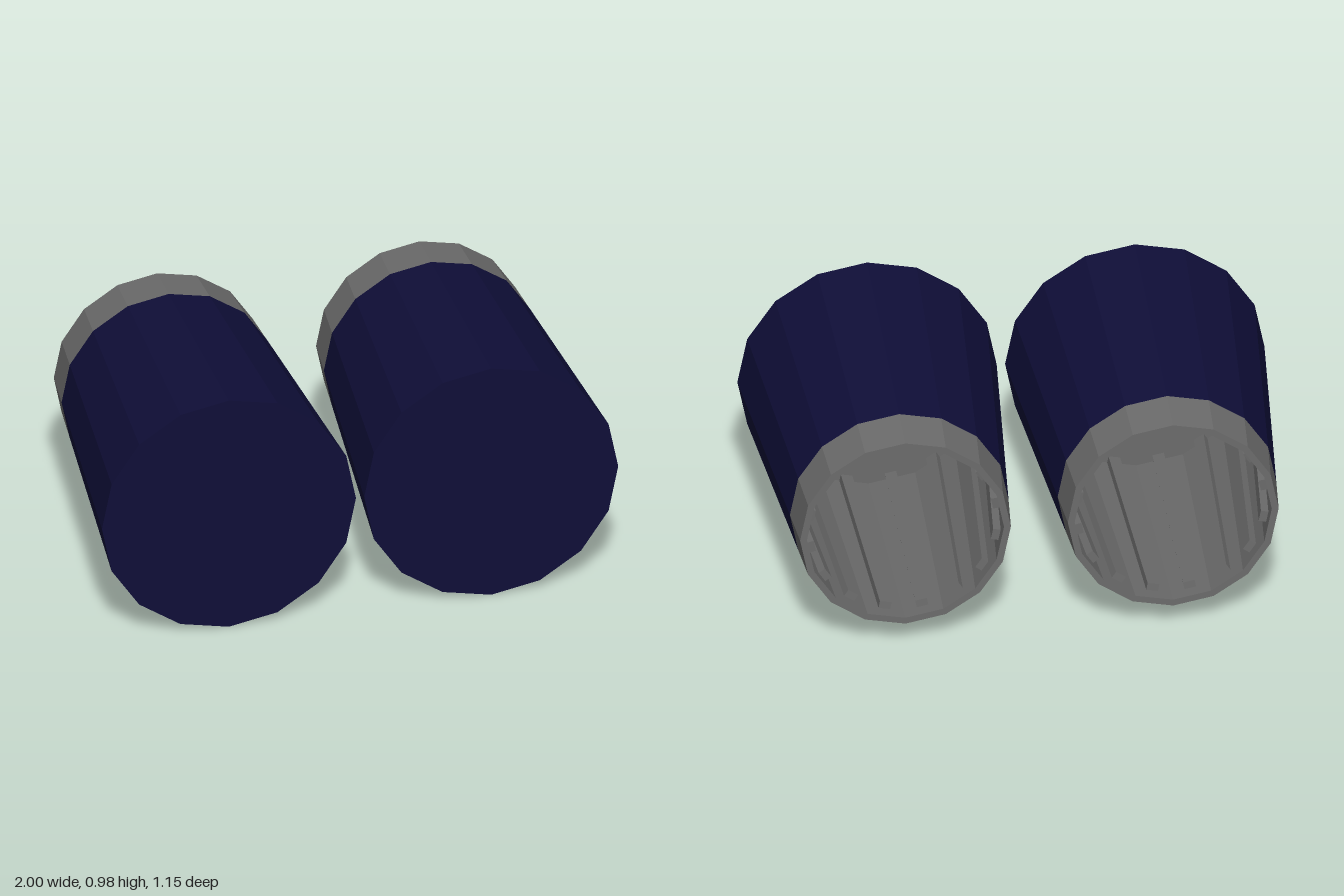
import * as THREE from 'three';

const SIDES = 16;
const FRONT = 0.573, BACK = -0.573, SEAM = -0.387, FLOOR = 0.53;
const R_FRONT = 0.492, R_BACK = 0.4, WALL = 0.026;

// Outer radius of the tapered shell at a given depth
const radiusAt = (z) => THREE.MathUtils.mapLinear(z, BACK, FRONT, R_BACK, R_FRONT);

export function createModel() {
  const navy = new THREE.MeshStandardMaterial({ color: 0x0f0e38, flatShading: true });
  const grey = new THREE.MeshStandardMaterial({ color: 0x6b6b6b, flatShading: true });

  // Faceted shell turned about the z axis from [radius, z] points
  const turned = (points) => new THREE.LatheGeometry(
    points.map(([r, z]) => new THREE.Vector2(r, z)), SIDES).rotateX(Math.PI / 2);

  const add = (group, name, geometry, material) => {
    const mesh = new THREE.Mesh(geometry, material);
    mesh.name = name;
    group.add(mesh);
    return mesh;
  };

  const bodyGeometry = turned([[radiusAt(SEAM), SEAM], [R_FRONT, FRONT], [0, FRONT]]);

  // Rim band, lip, hollow interior and its floor
  const linerGeometry = turned([
    [0, FLOOR], [radiusAt(FLOOR) - WALL, FLOOR],
    [R_BACK - WALL, BACK], [R_BACK, BACK], [radiusAt(SEAM), SEAM],
  ]);

  // Ribs run along the inner wall, following its taper
  const ribStart = BACK + 0.06;
  const ribLength = FLOOR - ribStart;
  const ribGeometry = new THREE.BoxGeometry(0.045, 0.03, ribLength);
  const taper = Math.atan((R_FRONT - R_BACK) / (FRONT - BACK));
  const ribZ = (ribStart + FLOOR) / 2;

  const makeBarrel = (name, x) => {
    const barrel = new THREE.Group();
    barrel.name = name;
    barrel.position.set(x, R_FRONT, 0);
    add(barrel, 'body', bodyGeometry, navy);
    add(barrel, 'rimAndLiner', linerGeometry, grey);
    for (let i = 0; i < SIDES; i++) {
      const spoke = new THREE.Group();
      spoke.name = 'ribSpoke';
      spoke.rotation.z = ((i + 0.5) / SIDES) * Math.PI * 2;
      const rib = add(spoke, 'rib', ribGeometry, grey);
      rib.position.set(0, (radiusAt(ribZ) - WALL) * Math.cos(Math.PI / SIDES) - 0.013, ribZ);
      rib.rotation.x = -taper;
      barrel.add(spoke);
    }
    return barrel;
  };

  const model = new THREE.Group();
  model.name = 'twinBarrels';
  model.add(makeBarrel('leftBarrel', 0.508), makeBarrel('rightBarrel', -0.508));
  return model;
}
